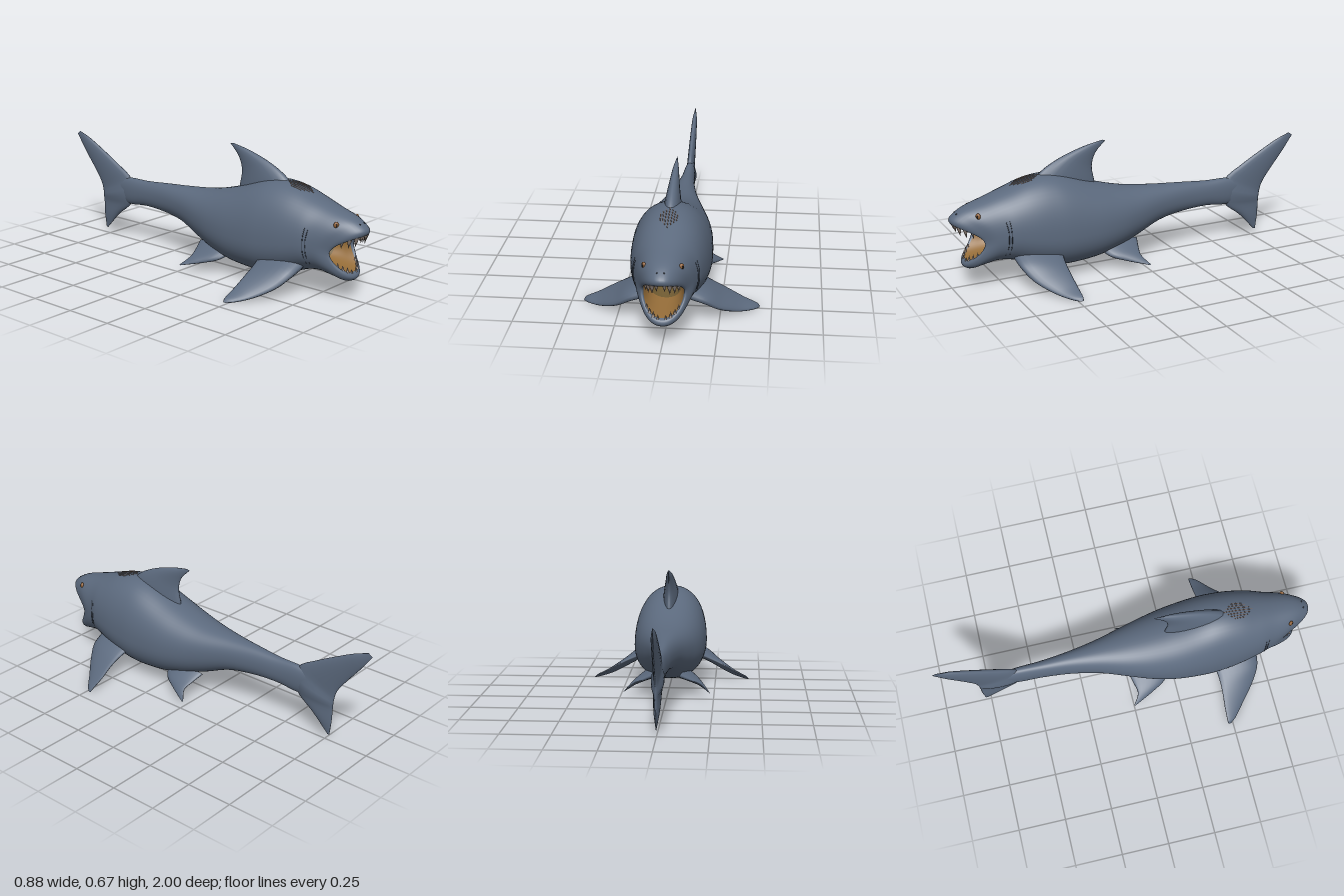
import * as THREE from 'three';

const paint = (name, color, side = THREE.FrontSide) => {
  const m = new THREE.MeshStandardMaterial({ color, side });
  m.name = name;
  return m;
};

// Stations from tail to throat: [zTop, yTop, zSide, ySide, halfWidth, zBottom, yBottom]
const straight = (z, top, side, w, bottom) => [z, top, z, side, w, z, bottom];
const stations = [
  straight(-0.74, 0.32, 0.295, 0.008, 0.27),
  straight(-0.6, 0.358, 0.29, 0.028, 0.212),
  straight(-0.45, 0.362, 0.29, 0.038, 0.222),
  straight(-0.3, 0.374, 0.295, 0.055, 0.215),
  straight(-0.15, 0.385, 0.29, 0.085, 0.19),
  straight(0, 0.4, 0.27, 0.13, 0.13),
  straight(0.12, 0.425, 0.25, 0.165, 0.09),
  straight(0.25, 0.465, 0.24, 0.19, 0.06),
  straight(0.4, 0.52, 0.24, 0.2, 0.05),
  straight(0.5, 0.535, 0.245, 0.197, 0.06),
  straight(0.6, 0.522, 0.26, 0.187, 0.085),
  straight(0.7, 0.49, 0.275, 0.168, 0.12),
  [0.8, 0.457, 0.75, 0.275, 0.15, 0.78, 0.128],
  [0.91, 0.424, 0.8, 0.265, 0.135, 0.85, 0.115],
  [0.965, 0.397, 0.835, 0.255, 0.118, 0.91, 0.102],
  [0.997, 0.368, 0.85, 0.25, 0.106, 0.94, 0.118],
  [0.985, 0.34, 0.845, 0.25, 0.097, 0.935, 0.142],
  [0.93, 0.335, 0.82, 0.25, 0.092, 0.89, 0.152],
  straight(0.79, 0.325, 0.245, 0.085, 0.165),
  straight(0.7, 0.3, 0.24, 0.062, 0.18),
  straight(0.6, 0.275, 0.24, 0.04, 0.205),
  straight(0.52, 0.24, 0.24, 0, 0.24),
];
const BACK = 10, EYE = 13, NOSE = 14, RIM = 16;

// Smooth interpolation between the stations
function stationAt(u) {
  const last = stations.length - 1;
  const i = Math.min(Math.floor(u), last - 1), t = u - i;
  const at = k => stations[Math.max(0, Math.min(last, k))];
  return stations[i].map((p1, c) => {
    const p0 = at(i - 1)[c], p2 = at(i + 1)[c], p3 = at(i + 2)[c];
    return 0.5 * (2 * p1 + (p2 - p0) * t + (2 * p0 - 5 * p1 + 4 * p2 - p3) * t * t
      + (3 * p1 - p0 - 3 * p2 + p3) * t * t * t);
  });
}

// Point on the skin; angle in degrees, 0 = left flank, 90 = back
function skin(u, deg) {
  const [zt, yt, zs, ys, w, zb, yb] = stationAt(u);
  const a = THREE.MathUtils.degToRad(deg), s = Math.sin(a), c = Math.cos(a);
  const k = Math.abs(s), up = s > 0;
  return new THREE.Vector3(
    w * Math.sign(c) * Math.abs(c) ** 0.92,
    ys + ((up ? yt : yb) - ys) * k ** 0.92,
    zs + ((up ? zt : zb) - zs) * k ** 1.5);
}

// Joins closed rings of points into one smooth surface
function loft(rings) {
  const n = rings[0].length, index = [];
  for (let i = 0; i < rings.length - 1; i++) {
    for (let j = 0; j < n; j++) {
      const a = i * n + j, b = i * n + (j + 1) % n;
      index.push(a, b, a + n, b, b + n, a + n);
    }
  }
  const g = new THREE.BufferGeometry().setFromPoints(rings.flat());
  g.setIndex(index);
  g.computeVertexNormals();
  return g;
}

function skinBetween(u0, u1) {
  const rings = [], steps = Math.round((u1 - u0) * 5);
  for (let i = 0; i <= steps; i++) {
    const u = u0 + (u1 - u0) * i / steps;
    rings.push(Array.from({ length: 56 }, (_, j) => skin(u, j * 360 / 56)));
  }
  return loft(rings);
}

// Fin from sections [leading point, trailing point, half thickness]
function fin(sections, mirror = 1) {
  const curve = pts => new THREE.CatmullRomCurve3(pts);
  const vec = p => new THREE.Vector3(p[0] * mirror, p[1], p[2]);
  const lead = curve(sections.map(s => vec(s[0])));
  const trail = curve(sections.map(s => vec(s[1])));
  const thick = curve(sections.map(s => new THREE.Vector3(s[2], 0, 0)));
  const normal = trail.getPoint(0.5).sub(lead.getPoint(0.5))
    .cross(lead.getPoint(1).sub(lead.getPoint(0))).normalize();
  const rings = [], half = 10;
  for (let i = 0; i <= 24; i++) {
    const t = i / 24, L = lead.getPoint(t), T = trail.getPoint(t);
    const th = Math.max(0, thick.getPoint(t).x);
    rings.push(Array.from({ length: half * 2 }, (_, j) => {
      const a = j / half * Math.PI;
      const s = (1 - Math.cos(a)) / 2;
      return L.clone().lerp(T, s).addScaledVector(normal, th * Math.sin(a) * (1.25 - 0.5 * s));
    }));
  }
  return loft(rings);
}

export function createModel() {
  const model = new THREE.Group();
  model.name = 'shark';
  const slate = paint('slateSkin', 0x5c6a7e, THREE.DoubleSide);
  const dark = paint('darkCrease', 0x343c48);
  const amber = paint('amberEye', 0x8f5f34);
  const pupil = paint('pupil', 0x2a2420);
  const tooth = paint('tooth', 0x93857c);
  const scar = paint('scar', 0x80695c);
  const mouthTan = paint('mouthTan', 0x946c38, THREE.DoubleSide);
  const throatBrown = paint('throatBrown', 0x6f5a31, THREE.DoubleSide);
  const throatDeep = paint('throatDeep', 0x4c4427, THREE.DoubleSide);

  const add = (name, geometry, material) => {
    const m = new THREE.Mesh(geometry, material);
    m.name = name;
    model.add(m);
    return m;
  };

  // Body, then the mouth lining in three shades
  add('body', skinBetween(0, RIM), slate);
  add('lips', skinBetween(RIM, RIM + 0.4), slate);
  add('mouthLining', skinBetween(RIM + 0.4, RIM + 2.4), mouthTan);
  add('throat', skinBetween(RIM + 2.4, RIM + 3.4), throatBrown);
  add('deepThroat', skinBetween(RIM + 3.4, stations.length - 1), throatDeep);

  // Dorsal fin
  add('dorsalFin', fin([
    [[0, 0.48, 0.58], [0, 0.4, 0.2], 0.045],
    [[0, 0.552, 0.5], [0, 0.46, 0.212], 0.038],
    [[0, 0.605, 0.4], [0, 0.54, 0.225], 0.026],
    [[0, 0.648, 0.27], [0, 0.605, 0.205], 0.015],
    [[0, 0.67, 0.165], [0, 0.665, 0.148], 0],
  ]), slate);

  // Tail fin, upper tip to lower tip
  add('tailFin', fin([
    [[0, 0.568, -0.975], [0, 0.552, -0.998], 0],
    [[0, 0.54, -0.9], [0, 0.465, -0.935], 0.013],
    [[0, 0.485, -0.79], [0, 0.365, -0.855], 0.017],
    [[0, 0.425, -0.68], [0, 0.3, -0.81], 0.019],
    [[0, 0.35, -0.57], [0, 0.25, -0.795], 0.02],
    [[0, 0.22, -0.57], [0, 0.2, -0.79], 0.02],
    [[0, 0.135, -0.67], [0, 0.12, -0.787], 0.016],
    [[0, 0.036, -0.765], [0, 0.036, -0.777], 0],
  ]), slate);

  for (const m of [1, -1]) {
    const side = m > 0 ? 'left' : 'right';
    // Paired fins
    add(side + 'PectoralFin', fin([
      [[0.11, 0.15, 0.705], [0.11, 0.175, 0.45], 0.04],
      [[0.185, 0.118, 0.695], [0.2, 0.135, 0.47], 0.03],
      [[0.255, 0.068, 0.655], [0.275, 0.1, 0.475], 0.021],
      [[0.345, 0.024, 0.58], [0.36, 0.052, 0.472], 0.013],
      [[0.415, 0.008, 0.52], [0.43, 0.018, 0.472], 0.007],
      [[0.44, 0.004, 0.49], [0.441, 0.006, 0.475], 0],
    ], m), slate);
    add(side + 'PelvicFin', fin([
      [[0.07, 0.12, 0.23], [0.07, 0.13, 0], 0.03],
      [[0.14, 0.085, 0.19], [0.13, 0.1, 0.02], 0.02],
      [[0.185, 0.06, 0.11], [0.18, 0.076, 0.03], 0.011],
      [[0.233, 0.034, 0.004], [0.23, 0.036, -0.002], 0],
    ], m), slate);

    // Eye with pupil, and nostril
    const turn = deg => (m > 0 ? deg : 180 - deg);
    const ball = (name, p, r, material) => {
      const b = add(name, new THREE.SphereGeometry(1, 16, 12), material);
      b.position.copy(p);
      b.scale.set(...r);
      b.rotation.y = m * 0.75;
      return b;
    };
    const eye = skin(EYE, turn(51.5));
    ball(side + 'Eye', eye, [0.013, 0.016, 0.009], amber);
    ball(side + 'Pupil', eye.clone().add(new THREE.Vector3(m * 0.005, 0, 0.0055)), [0.004, 0.009, 0.003], pupil);
    ball(side + 'Nostril', skin(NOSE, turn(83)), [0.004, 0.004, 0.004], dark);

    // Gill slits
    for (let k = 0; k < 2; k++) {
      const pts = [-38, -15, 8, 24].map(d => skin(11.5 + k * 0.3, turn(d)));
      add(side + 'GillSlit', new THREE.TubeGeometry(new THREE.CatmullRomCurve3(pts), 20, 0.0018, 5), dark);
    }

    // Teeth along both jaws
    const teeth = [[80, 0.036], [66, 0.05], [51, 0.046], [36, 0.032],
      [-80, 0.022], [-66, 0.03], [-52, 0.028], [-38, 0.022]];
    for (const [deg, len] of teeth) {
      const p = skin(RIM + 0.25, turn(deg)), down = deg > 0;
      const t = add(down ? 'upperTooth' : 'lowerTooth', new THREE.ConeGeometry(len * 0.28, len, 7), tooth);
      t.position.set(p.x * 0.97, p.y + (down ? -1 : 1) * len * 0.36, p.z);
      t.rotation.set(down ? Math.PI + 0.12 : -0.1, 0, 0);
    }
  }

  // Scar streaks on the back
  for (let k = -3; k <= 3; k++) {
    const reach = 0.8 - 0.17 * Math.abs(k);
    const pts = [-1, -0.5, 0, 0.5, 1].map(s => skin(BACK + s * reach, 90 + k * 3.6));
    add('scarStreak', new THREE.TubeGeometry(new THREE.CatmullRomCurve3(pts), 16, 0.002, 5), scar);
  }
  return model;
}
